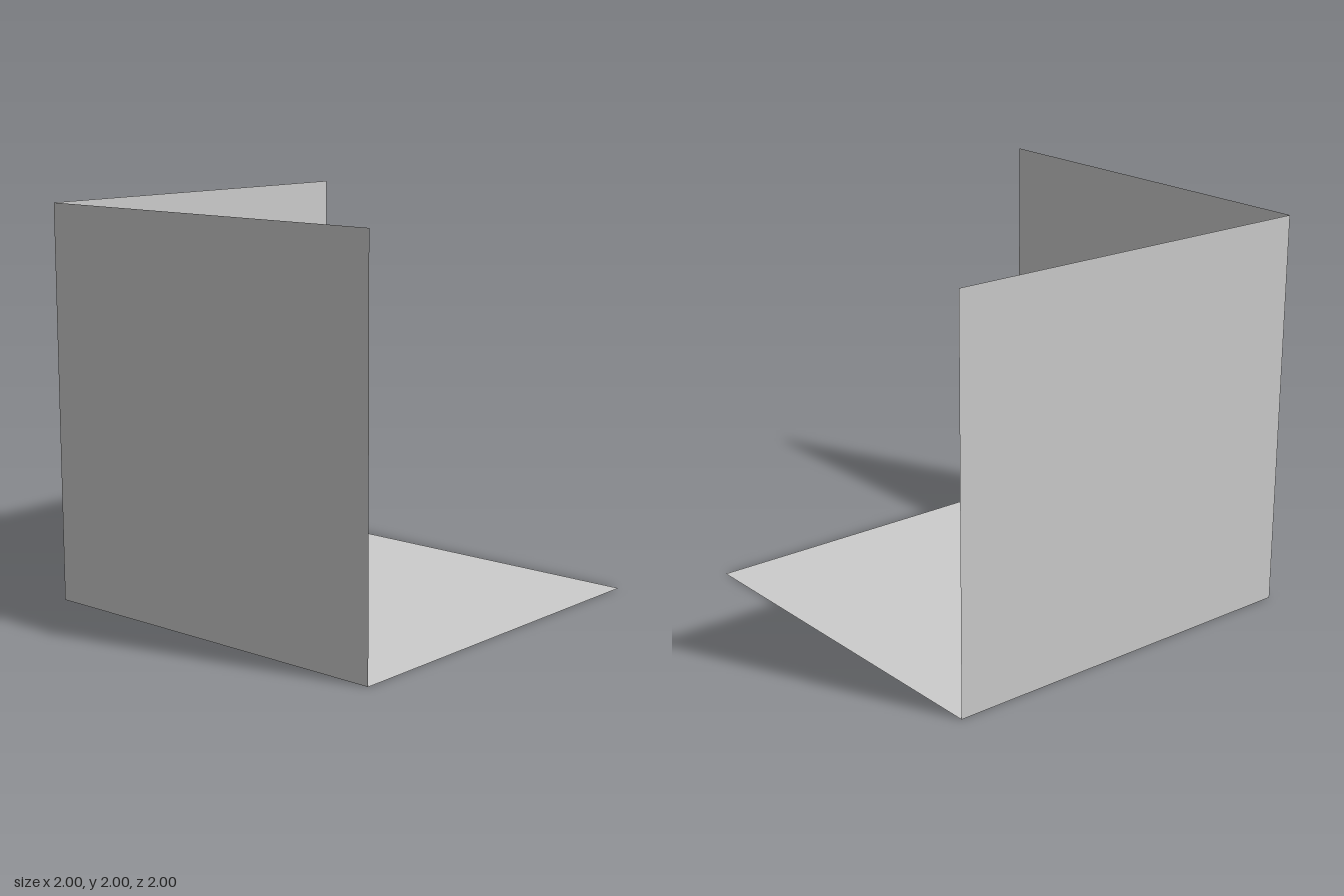
import * as THREE from 'three';
import { toCreasedNormals } from 'three/addons/utils/BufferGeometryUtils.js';

export function createModel() {
  const model = new THREE.Group();
  const plaster = new THREE.MeshStandardMaterial({ color: 0xcccccc, side: THREE.DoubleSide });
  plaster.name = 'pale grey';

  const add = (parent, name, geometry) => {
    const mesh = new THREE.Mesh(geometry, plaster);
    mesh.name = name;
    parent.add(mesh);
    return mesh;
  };
  const lathe = (profile, segments = 48) =>
    new THREE.LatheGeometry(profile.map(([r, y]) => new THREE.Vector2(r, y)), segments);
  const crease = (geometry) => toCreasedNormals(geometry, 0.6);

  // Room corner: floor and two walls
  add(model, 'floor', new THREE.PlaneGeometry(2, 2)).rotation.x = -Math.PI / 2;
  add(model, 'backWall', new THREE.PlaneGeometry(2, 2)).position.set(0, 1, -1);
  const sideWall = add(model, 'sideWall', new THREE.PlaneGeometry(2, 2));
  sideWall.rotation.y = Math.PI / 2;
  sideWall.position.set(-1, 1, 0);

  const candlestick = new THREE.Group();
  candlestick.name = 'candlestick';
  candlestick.position.set(-0.342, 0, -0.35);
  model.add(candlestick);

  // Shallow dish
  add(candlestick, 'dish', crease(lathe([
    [0, 0.002], [0.125, 0.002], [0.15, 0.01], [0.18, 0.026], [0.214, 0.047],
    [0.214, 0.051], [0.195, 0.046], [0.165, 0.028], [0.135, 0.016], [0.11, 0.012], [0, 0.012],
  ], 64)));

  // Turned holder with a hollow cup
  add(candlestick, 'holder', crease(lathe([
    [0.045, 0.012], [0.036, 0.025], [0.033, 0.045], [0.034, 0.07], [0.048, 0.077],
    [0.056, 0.09], [0.057, 0.107], [0.051, 0.127], [0.043, 0.142], [0.042, 0.155],
    [0.047, 0.18], [0.054, 0.205], [0.059, 0.228], [0.064, 0.232], [0.064, 0.239],
    [0.056, 0.239], [0.05, 0.215], [0.044, 0.19], [0, 0.19],
  ])));

  // Candle with a melted hollow and a ragged rim
  const body = lathe([
    [0, 0.19], [0.036, 0.19], [0.036, 0.45], [0.037, 0.69], [0.036, 0.725],
    [0.039, 0.747], [0.033, 0.752], [0.028, 0.742], [0.024, 0.718], [0, 0.712],
  ]);
  const p = body.attributes.position;
  for (let i = 0; i < p.count; i++) {
    if (p.getY(i) < 0.735) continue;
    const a = Math.atan2(p.getX(i), p.getZ(i));
    p.setY(i, p.getY(i) + 0.008 * Math.cos(4 * a) + 0.005 * Math.sin(7 * a));
  }
  add(candlestick, 'candle', crease(body));

  // Wick
  const wickPath = new THREE.CatmullRomCurve3([
    new THREE.Vector3(0, 0.71, 0), new THREE.Vector3(0.001, 0.74, 0), new THREE.Vector3(-0.004, 0.767, 0.002),
  ]);
  add(candlestick, 'wick', new THREE.TubeGeometry(wickPath, 8, 0.003, 8));

  // Wax drips: angle from the front, lower end, upper end, thickness
  const drips = [
    [0.8, 0.33, 0.66, 0.008], [1.15, 0.46, 0.73, 0.006], [-0.45, 0.52, 0.74, 0.008],
    [-1.15, 0.43, 0.73, 0.007], [0.1, 0.6, 0.74, 0.006], [2.5, 0.5, 0.72, 0.008],
    [1.8, 0.58, 0.74, 0.006], [-2.0, 0.55, 0.73, 0.007], [-2.8, 0.62, 0.74, 0.006],
  ];
  const waxDrips = new THREE.Group();
  waxDrips.name = 'waxDrips';
  candlestick.add(waxDrips);
  for (const [angle, low, high, r] of drips) {
    const h = high - low;
    const drip = add(waxDrips, 'waxDrip', lathe([
      [0, 0], [r * 0.7, 0.003], [r, 0.01], [r * 0.8, 0.024], [r * 0.55, 0.05],
      [r * 0.75, h * 0.5], [r * 0.6, h * 0.75], [r * 0.8, h - 0.01], [0, h],
    ], 10));
    drip.position.set(0.035 * Math.sin(angle), low, 0.035 * Math.cos(angle));
  }

  return model;
}
